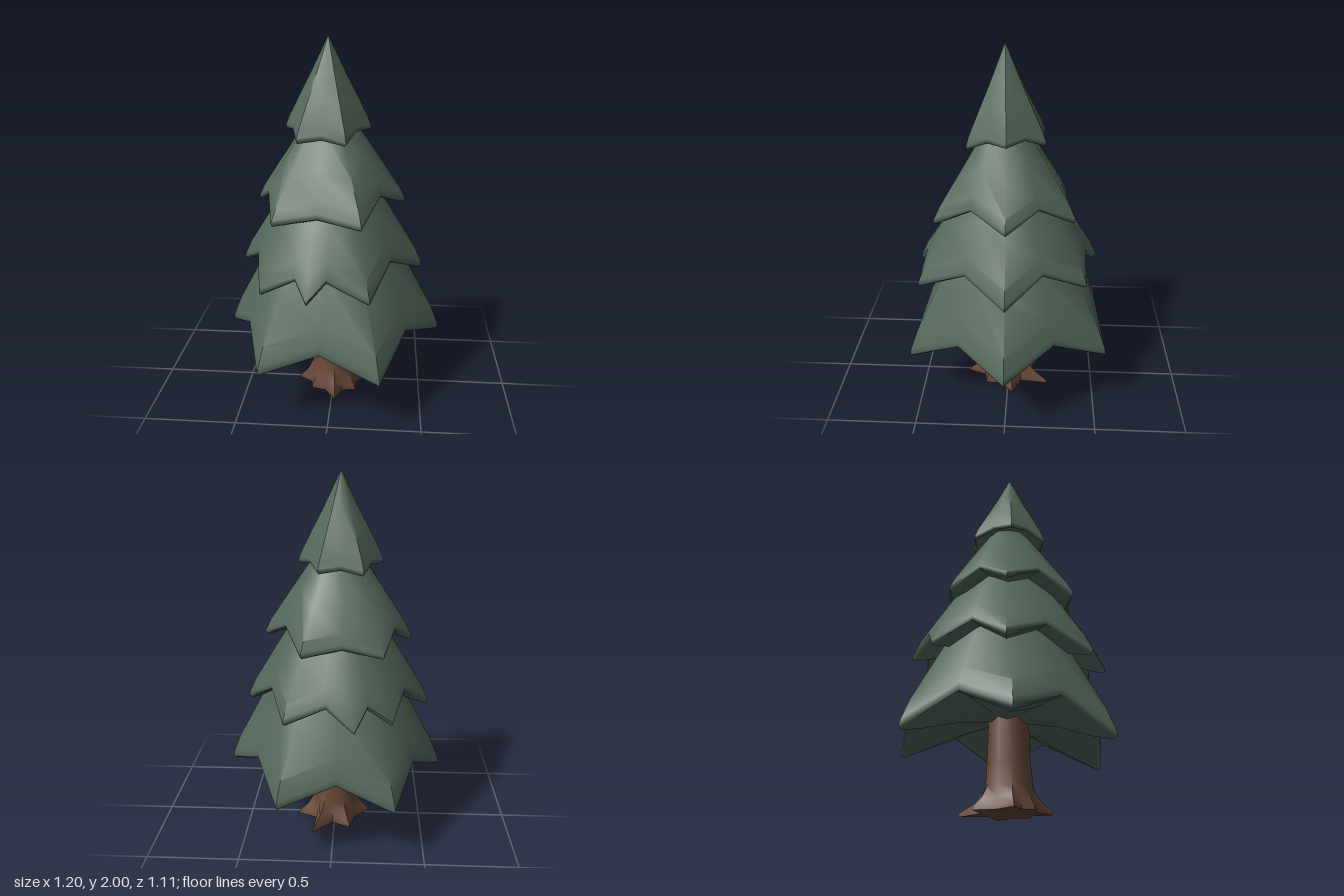
import * as THREE from 'three';
import { toCreasedNormals } from 'three/addons/utils/BufferGeometryUtils.js';

const green = new THREE.MeshStandardMaterial({ color: 0x54685b });
green.name = 'pineGreen';
const brown = new THREE.MeshStandardMaterial({ color: 0x664838 });
brown.name = 'barkBrown';

// Skin a stack of closed rings (each an array of [x, y, z]), inside-bottom to top
function loft(rings, crease) {
  const pos = [];
  const n = rings[0].length;
  const same = (p, q) => p.every((v, k) => Math.abs(v - q[k]) < 1e-6);
  const tri = (a, b, c) => {
    if (!same(a, b) && !same(b, c) && !same(a, c)) pos.push(...a, ...b, ...c);
  };
  for (let r = 0; r < rings.length - 1; r++) {
    for (let i = 0; i < n; i++) {
      const j = (i + 1) % n;
      const [lo, hi] = [rings[r], rings[r + 1]];
      tri(lo[i], hi[i], hi[j]);
      tri(lo[i], hi[j], lo[j]);
    }
  }
  const g = new THREE.BufferGeometry();
  g.setAttribute('position', new THREE.Float32BufferAttribute(pos, 3));
  return toCreasedNormals(g, crease);
}

// One skirt of branches: a drooping star rim, a cone above and a hollow below.
// Between two tips the rim is pulled in towards the axis and lifted; a tip's
// optional fourth value draws the neighbouring notches closer to it.
function tier({ name, apex: [cx, top, cz], pull, endLift, sideLift, tips }) {
  const outline = tips.flatMap(([x, y, z, w = 1], i) => {
    const [qx, qy, qz, qw = 1] = tips[(i + 1) % tips.length];
    const mix = (a, b) => (a * w + b * qw) / (w + qw);
    const [mx, mz] = [mix(x, qx), mix(z, qz)];
    const lift = Math.abs(mx) < Math.abs(mz) / 2 ? endLift : sideLift;
    return [[x, y, z], [cx + (mx - cx) * pull, mix(y, qy) + lift, cz + (mz - cz) * pull]];
  });
  const radii = outline.map(([x, , z]) => Math.hypot(x - cx, z - cz));
  const mean = radii.reduce((a, b) => a + b) / radii.length;
  const hollow = outline.reduce((s, p) => s + p[1], 0) / outline.length + 0.07;

  // scale towards the axis, round off the star, then place the height
  const ring = (scale, round, height) => outline.map(([x, y, z], i) => {
    const k = scale * (1 + round * (mean / radii[i] - 1));
    return [cx + (x - cx) * k, height(y), cz + (z - cz) * k];
  });
  const towards = (goal, t) => (y) => y + (goal - y) * t;
  const mesh = new THREE.Mesh(loft([
    ring(0, 0, () => hollow),
    ring(0.5, 0.2, towards(hollow, 0.55)),
    ring(0.8, 0, towards(hollow, 0.1)),
    ring(0.96, 0, (y) => y - 0.01),
    ring(0.99, 0, (y) => y - 0.004),
    ring(1, 0, (y) => y + 0.01),
    ring(0.985, 0, towards(top, 0.035)),
    ring(0.92, 0.03, towards(top, 0.12)),
    ring(0.69, 0.12, towards(top, 0.34)),
    ring(0.41, 0.25, towards(top, 0.6)),
    ring(0, 0, () => top),
  ], 0.75), green);
  mesh.name = name;
  return mesh;
}

// Branch tips of each skirt, going round from the right side by the back
const bottomBranches = {
  name: 'bottomBranches', apex: [0, 1.55, 0], pull: 0.94, endLift: 0.13, sideLift: 0.14,
  tips: [[-0.6, 0.36, -0.02], [-0.335, 0.33, -0.53], [0.28, 0.35, -0.555],
    [0.6, 0.36, 0], [0.275, 0.3, 0.55], [-0.37, 0.3, 0.495]],
};
const lowerMiddleBranches = {
  name: 'lowerMiddleBranches', apex: [-0.01, 1.62, 0], pull: 0.91, endLift: 0.1, sideLift: 0.12,
  tips: [[-0.52, 0.75, -0.04], [-0.315, 0.77, -0.4], [-0.12, 0.76, -0.5, 1.4], [0.25, 0.77, -0.43],
    [0.49, 0.75, 0], [0.215, 0.73, 0.49], [-0.105, 0.73, 0.52, 2.2], [-0.36, 0.73, 0.405]],
};
const upperMiddleBranches = {
  name: 'upperMiddleBranches', apex: [-0.02, 1.77, 0.01], pull: 0.94, endLift: 0.04, sideLift: 0.1,
  tips: [[-0.42, 1.12, -0.03], [-0.265, 1.1, -0.32], [0.16, 1.11, -0.36],
    [0.385, 1.13, 0], [0.165, 1.09, 0.395], [-0.3, 1.08, 0.33]],
};
const topBranches = {
  name: 'topBranches', apex: [-0.03, 2, 0.02], pull: 0.95, endLift: 0.022, sideLift: 0.03,
  tips: [[-0.257, 1.53, 0.01], [-0.155, 1.5, -0.19], [0.08, 1.51, -0.195],
    [0.195, 1.53, 0.005], [0.075, 1.48, 0.22], [-0.18, 1.485, 0.2]],
};

// Trunk with roots that flare out at the ground
function trunk() {
  const cz = 0.015;
  const tips = [[-0.2, 0.02], [-0.09, -0.17], [0.12, -0.235], [0.215, -0.03],
    [0.13, 0.13], [0.02, 0.24], [-0.12, 0.13]];
  const foot = tips.flatMap(([x, z], i) => {
    const [nx, nz] = tips[(i + 1) % tips.length];
    const a = Math.atan2((z + nz) / 2 - cz, (x + nx) / 2);
    return [[x, z], [0.14 * Math.cos(a), cz + 0.14 * Math.sin(a)]];
  });
  // blend from the root star to a round section
  const ring = (y, round, radius) => foot.map(([x, z]) => {
    const d = Math.hypot(x, z - cz);
    const k = (d + (radius - d) * round) / d;
    return [x * k, y, cz + (z - cz) * k];
  });
  const mesh = new THREE.Mesh(loft([
    ring(0, 1, 0),
    ring(0, 0, 0),
    ring(0.02, 0.05, 0.12),
    ring(0.06, 0.55, 0.12),
    ring(0.12, 0.9, 0.118),
    ring(0.25, 1, 0.112),
    ring(0.6, 1, 0.102),
    ring(0.6, 1, 0),
  ], 0.8), brown);
  mesh.name = 'trunk';
  return mesh;
}

export function createModel() {
  const tree = new THREE.Group();
  tree.name = 'pineTree';
  tree.add(trunk());
  for (const spec of [bottomBranches, lowerMiddleBranches, upperMiddleBranches, topBranches]) {
    tree.add(tier(spec));
  }
  return tree;
}
